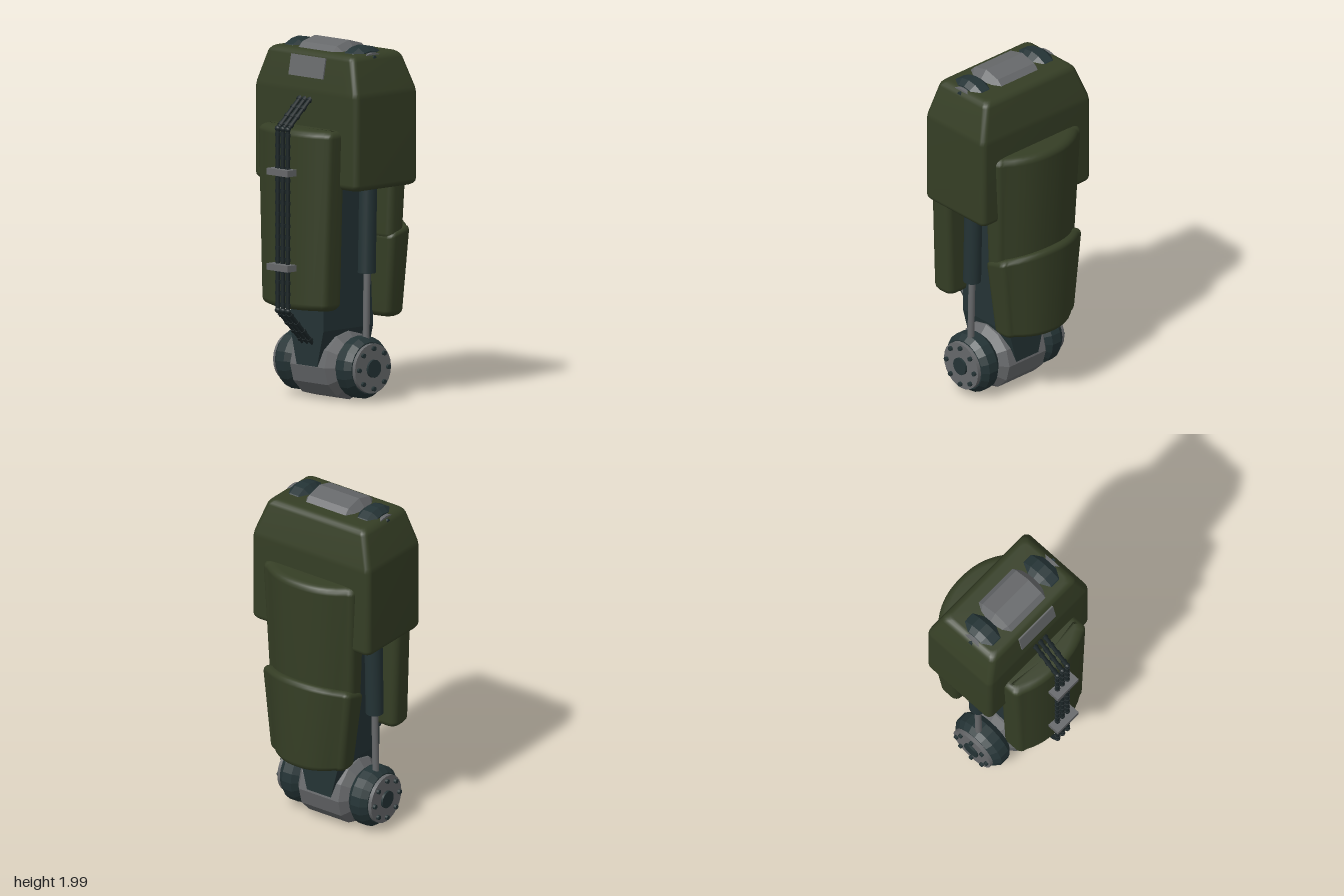
import * as THREE from 'three';

const material = (name, color) => Object.assign(new THREE.MeshStandardMaterial({ color }), { name });

export function createModel() {
  const olive = material('olive armour', 0x353e25);
  const steel = material('grey steel', 0x66686a);
  const teal = material('dark teal metal', 0x243335);
  const rubber = material('black rubber', 0x1b2527);
  const model = new THREE.Group();
  model.name = 'mechanicalLeg';

  const add = (name, geometry, mat, parent = model) => {
    const mesh = new THREE.Mesh(geometry, mat);
    mesh.name = name;
    parent.add(mesh);
    return mesh;
  };
  const box = (name, size, pos, mat, parent) => {
    const mesh = add(name, new THREE.BoxGeometry(...size), mat, parent);
    mesh.position.set(...pos);
    return mesh;
  };
  // round bar between two points
  const rod = (name, a, b, radius, mat, parent, sides = 16) => {
    const from = new THREE.Vector3(...a), to = new THREE.Vector3(...b);
    const dir = to.clone().sub(from);
    const mesh = add(name, new THREE.CylinderGeometry(radius, radius, dir.length(), sides), mat, parent);
    mesh.position.copy(from).addScaledVector(dir, 0.5);
    mesh.quaternion.setFromUnitVectors(new THREE.Vector3(0, 1, 0), dir.normalize());
    return mesh;
  };

  // soft-edged armour block: keys are [y, half width, inner z, outer z], bow curves the outer face
  function armour(keys, r, bow, slope = 0) {
    const at = (y) => {
      let i = 0;
      while (i < keys.length - 2 && y > keys[i + 1][0]) i++;
      const t = (y - keys[i][0]) / (keys[i + 1][0] - keys[i][0]);
      return keys[i].map((v, k) => v + (keys[i + 1][k] - v) * t);
    };
    const y0 = keys[0][0], y1 = keys[keys.length - 1][0];
    const rings = [], arc = [0, 1, 2, 3, 4].map((k) => k * Math.PI / 8);
    arc.forEach((a) => rings.push([y0 + r * (1 - Math.sin(a)), r * (1 - Math.cos(a))]));
    rings.reverse();
    rings.forEach((ring, k) => { ring[0] = y0 + r * (1 - Math.cos(arc[k])); ring[1] = r * (1 - Math.sin(arc[k])); });
    keys.slice(1, -1).forEach((k) => rings.push([k[0] - 0.015, 0], [k[0] + 0.015, 0]));
    [...arc].reverse().forEach((a) => rings.push([y1 - r * (1 - Math.cos(a)), r * (1 - Math.sin(a))]));

    const pos = [], index = [];
    let n = 0;
    for (const [y, inset] of rings) {
      const [, w, zi, zo] = at(y);
      const hw = w - inset, z0 = zi + inset, z1 = zo - inset, c = r * 0.95, e = hw - c;
      const pts = [];
      const corner = (cx, cz, start) => {
        for (let k = 0; k <= 4; k++) {
          const a = start - k * Math.PI / 8;
          pts.push([cx + c * Math.cos(a), cz + c * Math.sin(a)]);
        }
      };
      corner(-e, z1 - bow - c, Math.PI);
      for (let k = -5; k <= 5; k++) {
        pts.push([e * k / 6, z1 - bow * Math.pow(Math.abs(k / 6), 2.4)]);
      }
      corner(e, z1 - bow - c, Math.PI / 2);
      corner(e, z0 + c, 0);
      corner(-e, z0 + c, -Math.PI / 2);
      n = pts.length;
      const drop = slope * (y - y0) / (y1 - y0);
      pts.forEach(([x, z]) => pos.push(x, y + (z - zo) * drop, z));
    }
    for (let j = 0; j < rings.length - 1; j++) {
      for (let i = 0; i < n; i++) {
        const a = j * n + i, b = j * n + (i + 1) % n;
        index.push(a, b, b + n, a, b + n, a + n);
      }
    }
    // end caps
    for (const top of [false, true]) {
      const base = top ? (rings.length - 1) * n : 0, centre = pos.length / 3;
      const sum = [0, 0, 0];
      for (let i = 0; i < n; i++) for (let k = 0; k < 3; k++) sum[k] += pos[(base + i) * 3 + k] / n;
      pos.push(...sum);
      for (let i = 0; i < n; i++) {
        const a = base + i, b = base + (i + 1) % n;
        index.push(centre, top ? a : b, top ? b : a);
      }
    }
    const g = new THREE.BufferGeometry();
    g.setAttribute('position', new THREE.Float32BufferAttribute(pos, 3));
    g.setIndex(index);
    g.computeVertexNormals();
    return g;
  }

  // armour shells
  add('upperArmour', armour([[1.2, 0.403, -0.277, 0.2], [1.73, 0.403, -0.277, 0.2],
    [1.945, 0.33, -0.222, 0.16]], 0.035, 0), olive);
  add('shinPlate', armour([[0.527, 0.252, 0.157, 0.35], [1.53, 0.285, 0.157, 0.347]], 0.04, 0.05), olive);
  add('upperCalfPlate', armour([[0.88, 0.285, 0.17, 0.375], [1.6, 0.313, 0.17, 0.4]], 0.04, 0.09), olive)
    .rotation.y = Math.PI;
  add('lowerCalfPlate', armour([[0.45, 0.248, 0.19, 0.412], [1.0, 0.302, 0.17, 0.42]], 0.04, 0.09, 0.3), olive)
    .rotation.y = Math.PI;
  box('frontBadgePlate', [0.27, 0.117, 0.02], [0, 1.857, 0.175], steel).rotation.x = -0.19;

  // central column, narrowing into the ankle
  const outline = new THREE.Shape([[-0.08, 0.2], [0.08, 0.2], [0.13, 0.4], [0.13, 1.8], [-0.13, 1.8], [-0.13, 0.4]]
    .map((p) => new THREE.Vector2(...p)));
  add('column', new THREE.ExtrudeGeometry(outline, { depth: 0.38, bevelEnabled: false }), teal)
    .position.z = -0.195;

  // faceted turned part along x, from [radius, x] points
  const turned = (name, points, sides, mat, parent) => {
    const g = new THREE.LatheGeometry(points.map((p) => new THREE.Vector2(...p)), sides).toNonIndexed();
    g.rotateZ(-Math.PI / 2);
    g.computeVertexNormals();
    return add(name, g, mat, parent);
  };

  // hip and ankle joints
  for (const [name, y] of [['ankleJoint', 0.197], ['hipJoint', 1.81]]) {
    const joint = new THREE.Group();
    joint.name = name;
    joint.position.set(0, y, -0.008);
    model.add(joint);
    turned('hub', [[0, -0.172], [0.145, -0.172], [0.19, -0.135], [0.19, 0.135], [0.145, 0.172], [0, 0.172]], 12, steel, joint);
    for (const s of [-1, 1]) {
      const side = new THREE.Group();
      side.name = s > 0 ? 'leftWheel' : 'rightWheel';
      side.rotation.y = s > 0 ? 0 : Math.PI;
      joint.add(side);
      turned('disc', [[0, 0.165], [0.14, 0.17], [0.172, 0.205], [0.172, 0.265], [0.145, 0.3], [0, 0.302]], 20, teal, side);
      rod('cover', [0.295, 0, 0], [0.322, 0, 0], 0.138, steel, side, 24);
      rod('cap', [0.32, 0, 0], [0.335, 0, 0], 0.05, teal, side, 16);
      for (let i = 0; i < 8; i++) {
        const a = i * Math.PI / 4, by = 0.112 * Math.cos(a), bz = 0.112 * Math.sin(a);
        rod('bolt', [0.32, by, bz], [0.337, by, bz], 0.013, teal, side, 8);
      }
    }
  }

  // side pistons
  for (const s of [-1, 1]) {
    const piston = new THREE.Group();
    piston.name = s > 0 ? 'leftPiston' : 'rightPiston';
    model.add(piston);
    rod('pistonSleeve', [s * 0.255, 0.72, -0.025], [s * 0.255, 1.6, -0.045], 0.05, teal, piston, 20);
    rod('pistonRod', [s * 0.258, 0.22, -0.015], [s * 0.256, 0.8, -0.027], 0.019, steel, piston);
  }

  // ribbed front cables
  for (const x of [-0.039, 0, 0.039]) {
    const cable = new THREE.Group();
    cable.name = 'cable';
    model.add(cable);
    const p = [[1.70, 0.18], [1.53, 0.37], [0.523, 0.37], [0.325, 0.175]];
    for (let i = 0; i < 3; i++) {
      const a = new THREE.Vector3(x, ...p[i]), b = new THREE.Vector3(x, ...p[i + 1]);
      rod('hose', a.toArray(), b.toArray(), 0.012, rubber, cable, 8);
      const dir = b.clone().sub(a), count = Math.round(dir.length() / 0.063);
      dir.normalize();
      for (let k = 0; k < count; k++) {
        const c = a.clone().lerp(b, (k + 0.5) / count);
        rod('rib', c.clone().addScaledVector(dir, -0.009).toArray(),
          c.clone().addScaledVector(dir, 0.009).toArray(), 0.016, rubber, cable, 8);
      }
      if (i < 2) {
        const elbow = add('elbow', new THREE.SphereGeometry(0.017, 8, 6), rubber, cable);
        elbow.position.copy(b);
      }
    }
  }
  for (const y of [0.765, 1.293]) box('cableClamp', [0.165, 0.036, 0.085], [0, y, 0.373], steel);

  return model;
}
